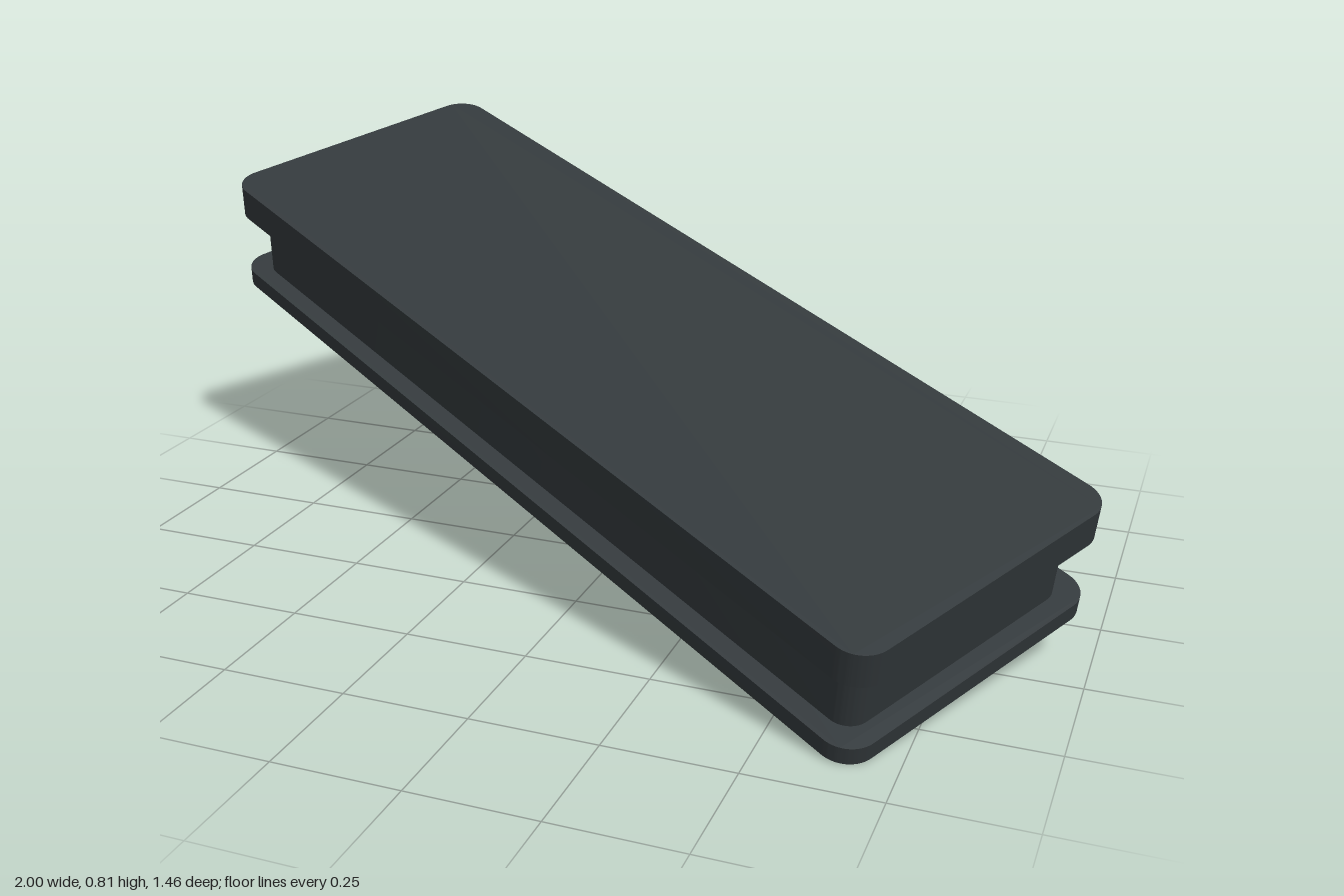
import * as THREE from 'three';
import { toCreasedNormals } from 'three/addons/utils/BufferGeometryUtils.js';

const material = new THREE.MeshStandardMaterial({ color: 0x33393c });

// Rounded rectangular slab lying flat, from y0 to y1
function slab(name, halfL, halfW, r, y0, y1) {
  const s = new THREE.Shape();
  const a = halfL - r, b = halfW - r;
  s.absarc(a, b, r, 0, Math.PI / 2);
  s.absarc(-a, b, r, Math.PI / 2, Math.PI);
  s.absarc(-a, -b, r, Math.PI, Math.PI * 1.5);
  s.absarc(a, -b, r, Math.PI * 1.5, Math.PI * 2);
  s.closePath();
  const geo = new THREE.ExtrudeGeometry(s, { depth: y1 - y0, bevelEnabled: false, curveSegments: 10 });
  geo.rotateX(-Math.PI / 2).translate(0, y0, 0);
  const mesh = new THREE.Mesh(toCreasedNormals(geo, 0.6), material);
  mesh.name = name;
  return mesh;
}

export function createModel() {
  const group = new THREE.Group();
  group.name = 'tiltedBlock';

  const halfL = 0.977, halfW = 0.327, halfH = 0.1275, inset = 0.041;
  const block = new THREE.Group();
  block.name = 'block';

  // Thick upper plate, recessed core, thin lower plate
  block.add(slab('topPlate', halfL, halfW, 0.06, halfH - 0.073, halfH));
  block.add(slab('core', halfL - inset, halfW - inset, 0.045, -halfH + 0.037, halfH - 0.073));
  block.add(slab('bottomPlate', halfL, halfW, 0.06, -halfH, -halfH + 0.037));

  // Round stud under the lower plate
  const stud = new THREE.Mesh(new THREE.CylinderGeometry(0.11, 0.11, 0.05, 48), material);
  stud.name = 'bottomStud';
  stud.position.y = -halfH - 0.025;
  block.add(stud);

  // Tilt: long axis runs right, down and forward
  const x = new THREE.Vector3(0.863, -0.239, 0.445).normalize();
  const z = new THREE.Vector3(-0.489, -0.171, 0.855);
  const y = z.clone().cross(x).normalize();
  z.crossVectors(x, y);
  block.quaternion.setFromRotationMatrix(new THREE.Matrix4().makeBasis(x, y, z));
  block.position.y = 0.405;

  group.add(block);
  return group;
}
